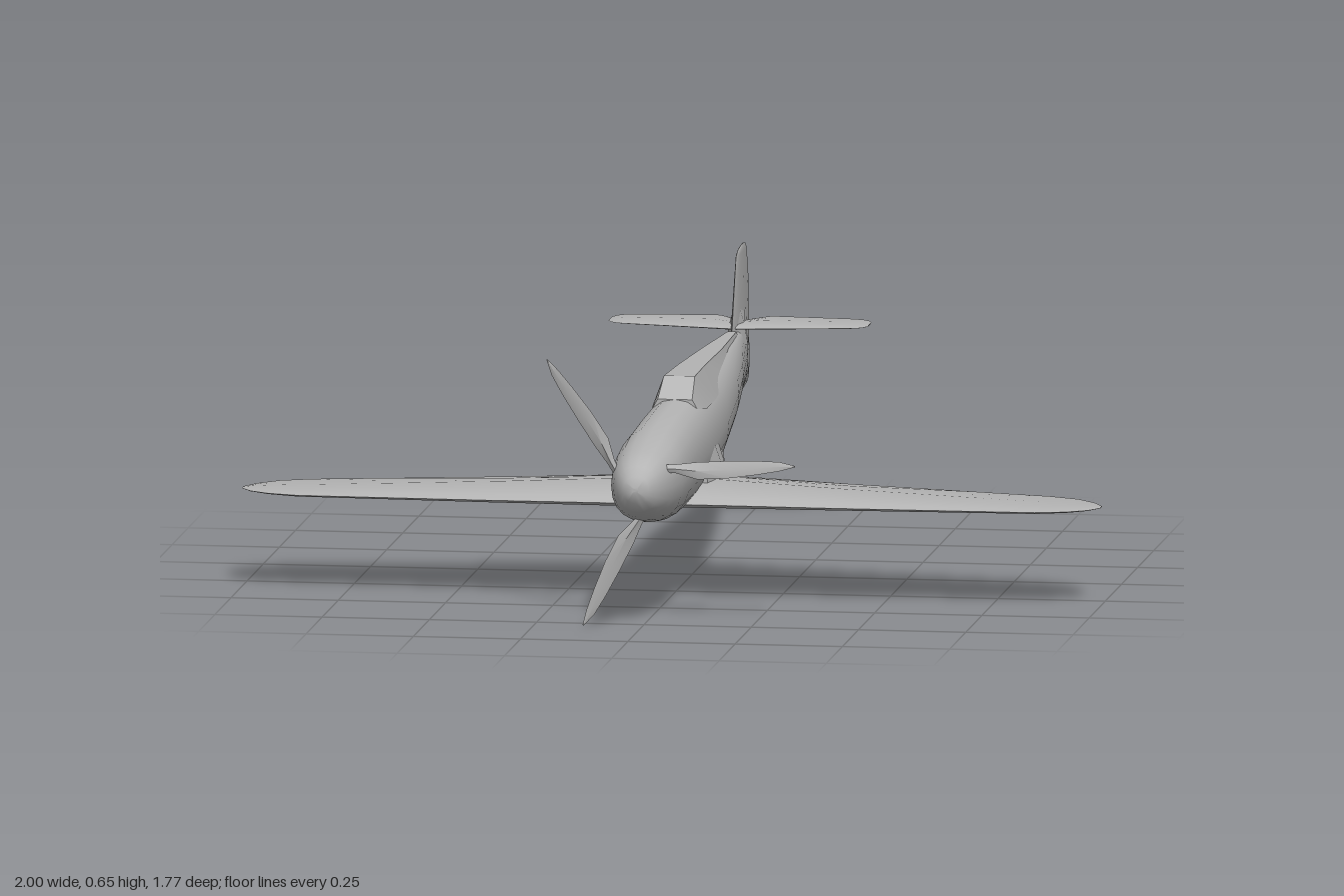
import * as THREE from 'three';
import { toCreasedNormals } from 'three/addons/utils/BufferGeometryUtils.js';

// Closed skin over equal-sized rings of [x, y, z]; the ends are capped and the faces always point outward.
function loft(rings, crease = 0.6) {
  const n = rings[0].length, pts = rings.flat(), idx = [];
  for (let i = 0; i < rings.length - 1; i++) {
    for (let j = 0; j < n; j++) {
      const a = i * n + j, b = i * n + (j + 1) % n;
      idx.push(a, b, b + n, a, b + n, a + n);
    }
  }
  const last = (rings.length - 1) * n;
  for (let j = 1; j < n - 1; j++) {
    idx.push(0, j + 1, j, last, last + j, last + j + 1);
  }
  let volume = 0;
  const v = pts.map((p) => new THREE.Vector3(...p));
  for (let i = 0; i < idx.length; i += 3) {
    volume += v[idx[i]].dot(v[idx[i + 1]].clone().cross(v[idx[i + 2]]));
  }
  if (volume < 0) idx.reverse();
  const geo = new THREE.BufferGeometry();
  geo.setAttribute('position', new THREE.Float32BufferAttribute(pts.flat(), 3));
  geo.setIndex(idx);
  return toCreasedNormals(geo, crease);
}

// Airfoil ring as [offset, z]: leading edge, upper side, trailing edge, lower side.
function airfoil(zLead, zTrail, mid, up, down) {
  const shape = [[0.06, 0.5], [0.22, 0.9], [0.45, 1], [0.72, 0.6]];
  const at = (t, h) => [mid + h, zLead + (zTrail - zLead) * t];
  return [at(0, 0), ...shape.map(([t, h]) => at(t, h * up)), at(1, 0),
    ...shape.map(([t, h]) => at(t, -h * down)).reverse()];
}

export function createModel() {
  const model = new THREE.Group();
  model.name = 'propellerPlane';
  const grey = new THREE.MeshStandardMaterial({ color: 0xb4b4b4 });
  grey.name = 'plain grey';
  const add = (name, geo, parent = model) => {
    const mesh = new THREE.Mesh(geo, grey);
    mesh.name = name;
    parent.add(mesh);
    return mesh;
  };

  // Fuselage stations: z, top, bottom, half width
  const body = [
    [0.885, 0.352, 0.338, 0.008], [0.875, 0.375, 0.313, 0.03], [0.85, 0.396, 0.288, 0.048],
    [0.82, 0.41, 0.272, 0.061], [0.78, 0.42, 0.258, 0.072], [0.7, 0.433, 0.242, 0.083],
    [0.6, 0.446, 0.23, 0.086], [0.42, 0.456, 0.225, 0.085], [0.27, 0.461, 0.225, 0.083],
    [0.1, 0.47, 0.233, 0.081], [-0.05, 0.476, 0.246, 0.078], [-0.3, 0.482, 0.287, 0.064],
    [-0.5, 0.479, 0.308, 0.044], [-0.62, 0.477, 0.32, 0.03], [-0.75, 0.474, 0.327, 0.016],
    [-0.85, 0.45, 0.333, 0.004],
  ];
  const power = (c) => Math.sign(c) * Math.abs(c) ** 0.9;
  add('fuselage', loft(body.map(([z, top, bottom, w]) => Array.from({ length: 20 }, (_, j) => {
    const a = (j / 20) * Math.PI * 2;
    return [w * power(Math.cos(a)), (top + bottom) / 2 + (top - bottom) / 2 * power(Math.sin(a)), z];
  })), 0.8));

  // Canopy and its long spine: z, top, half width at top, base y, half width at base
  const canopy = [
    [0.27, 0.461, 0.04, 0.44, 0.052], [0.2, 0.505, 0.036, 0.43, 0.064],
    [0, 0.501, 0.031, 0.43, 0.064], [-0.3, 0.49, 0.024, 0.43, 0.049],
    [-0.62, 0.48, 0.01, 0.44, 0.02],
  ];
  add('canopyAndSpine', loft(canopy.map(([z, top, w, base, wb]) =>
    [[-wb, base, z], [-w, top, z], [w, top, z], [wb, base, z]]), 0.3));

  // Wings: span, leading z, trailing z, mid y, upper and lower thickness
  const wing = [
    [0, 0.46, 0.0, 0.246, 0.032, 0.021], [0.08, 0.457, 0.015, 0.246, 0.03, 0.021],
    [0.4, 0.442, 0.085, 0.243, 0.02, 0.016], [0.7, 0.426, 0.142, 0.241, 0.012, 0.012],
    [0.86, 0.417, 0.172, 0.24, 0.008, 0.01], [0.93, 0.397, 0.203, 0.24, 0.006, 0.007],
    [0.975, 0.368, 0.25, 0.24, 0.004, 0.004], [1, 0.33, 0.3, 0.24, 0.001, 0.001],
  ];
  // Tailplane, same columns
  const tailplane = [
    [0, -0.63, -0.76, 0.484, 0.007, 0.006], [0.06, -0.639, -0.832, 0.484, 0.007, 0.006],
    [0.24, -0.67, -0.82, 0.484, 0.005, 0.004], [0.275, -0.677, -0.812, 0.484, 0.004, 0.003],
    [0.293, -0.69, -0.795, 0.484, 0.003, 0.002], [0.302, -0.71, -0.77, 0.484, 0.001, 0.001],
  ];
  // Wing root fairing: z, top y, half width at top, half width at foot
  const fairing = [
    [0.31, 0.3, 0.08, 0.083], [0.19, 0.355, 0.078, 0.111],
    [0.12, 0.35, 0.076, 0.103], [0.0, 0.31, 0.07, 0.078],
  ];
  for (const [side, s] of [['left', 1], ['right', -1]]) {
    const panel = (rows) => loft(rows.map(([x, ...section]) =>
      airfoil(...section).map(([y, z]) => [s * x, y, z])));
    add(side + 'Wing', panel(wing));
    add(side + 'Tailplane', panel(tailplane));
    add(side + 'WingFairing', loft(fairing.map(([z, top, w, foot]) =>
      [[s * 0.04, top, z], [s * w, top, z], [s * foot, 0.262, z], [s * 0.04, 0.262, z]]), 0.4));
  }

  // Fin and rudder: height, leading z, trailing z, half thickness
  const fin = [
    [0.33, -0.64, -0.862, 0.008], [0.342, -0.63, -0.88, 0.009], [0.37, -0.62, -0.886, 0.01],
    [0.48, -0.615, -0.878, 0.01], [0.59, -0.655, -0.866, 0.006], [0.645, -0.678, -0.838, 0.004],
    [0.656, -0.71, -0.822, 0.003], [0.661, -0.76, -0.79, 0.001],
  ];
  add('finAndRudder', loft(fin.map(([y, lead, trail, t]) =>
    airfoil(lead, trail, 0, t, t).map(([x, z]) => [x, y, z]))));
  // Flare where the fin meets the fuselage
  add('finFillet', loft([[0.44, 0.026], [0.485, 0.018], [0.53, 0.005]].map(([y, w]) =>
    [[0, y, -0.62 - (y - 0.44) * 0.25], [w, y, -0.69], [0, y, -0.83], [-w, y, -0.69]]), 1));

  // Propeller: three thin, slightly bowed blades
  const propeller = new THREE.Group();
  propeller.name = 'propeller';
  propeller.position.set(0, 0.345, 0.785);
  model.add(propeller);
  // Blade stations: radius, upper edge, lower edge, half thickness
  const blade = [
    [0.03, 0.045, 0.03, 0.006], [0.08, 0.047, 0.027, 0.006], [0.13, 0.053, 0.014, 0.006],
    [0.2, 0.057, 0.018, 0.004], [0.27, 0.059, 0.028, 0.003], [0.32, 0.058, 0.037, 0.002],
    [0.357, 0.05, 0.047, 0.001],
  ];
  const bladeGeo = loft(blade.map(([r, up, low, t]) => {
    const mid = (up + low) / 2, lean = (up - low) * 0.12;
    return [[r, up, -lean], [r, mid, t], [r, low, lean], [r, mid, -t]];
  }), 0.5);
  for (let i = 0; i < 3; i++) {
    add('blade' + (i + 1), bladeGeo, propeller).rotation.z = (i * Math.PI * 2) / 3;
  }
  return model;
}
